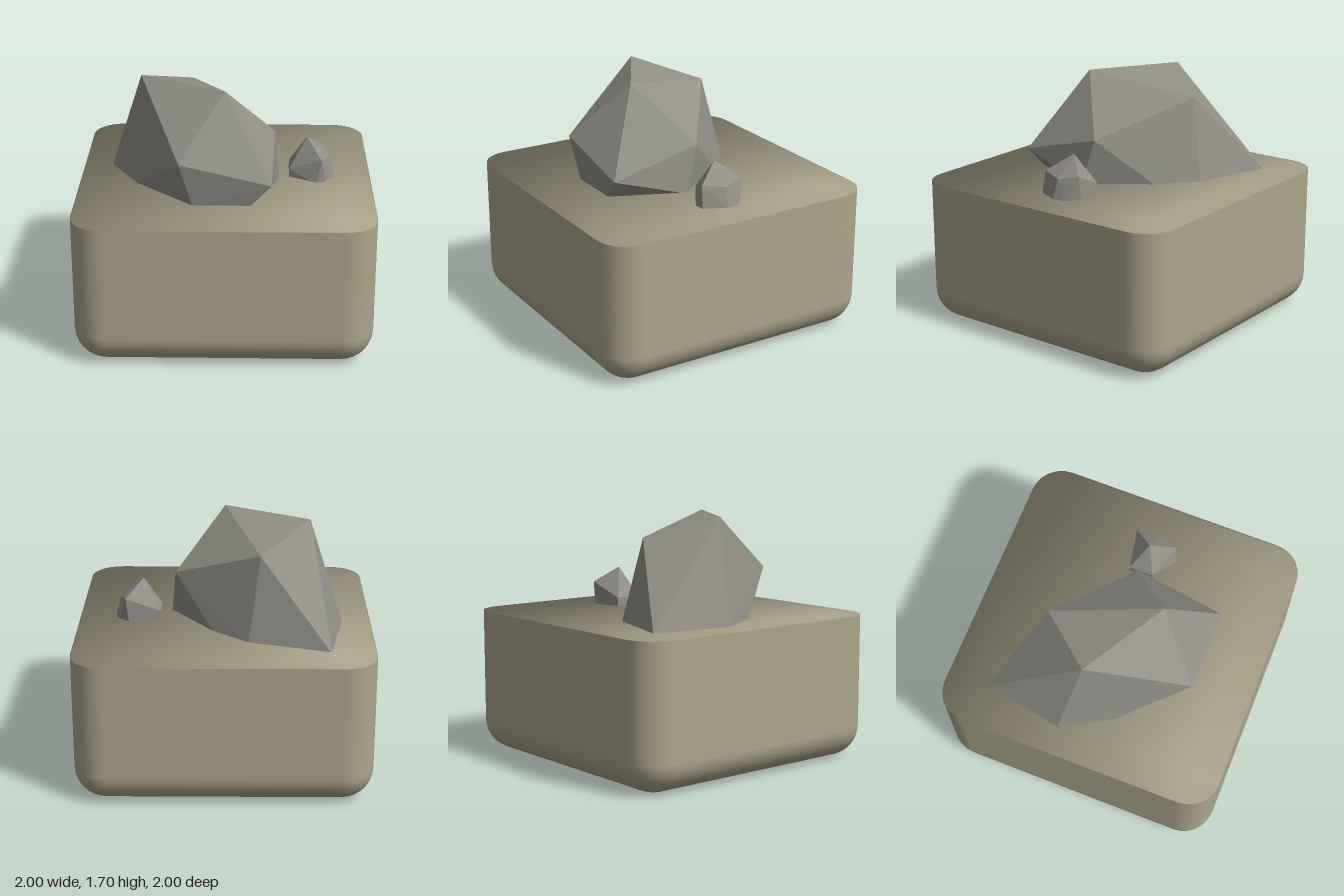
import * as THREE from 'three';
import { RoundedBoxGeometry } from 'three/addons/geometries/RoundedBoxGeometry.js';
import { ConvexGeometry } from 'three/addons/geometries/ConvexGeometry.js';

const GROUND = new THREE.MeshStandardMaterial({ color: 0xaca68a });
const STONE = new THREE.MeshStandardMaterial({ color: 0x918f87, flatShading: true });

// Lower half of a rounded cube: everything above the middle is pressed flat.
// The top keeps soft, outward-leaning normals so it blends into the walls.
function makeGroundBlock() {
  const radius = 0.22;
  const geometry = new RoundedBoxGeometry(2, 2, 2, 4, radius);
  const position = geometry.attributes.position;
  const normal = geometry.attributes.normal;
  const n = new THREE.Vector3();
  for (let i = 0; i < position.count; i++) {
    const y = position.getY(i);
    if (y < 0) continue;
    if (y > 1 - radius + 0.01) {
      n.set(position.getX(i), 0.6, position.getZ(i)).normalize();
      normal.setXYZ(i, n.x, n.y, n.z);
    }
    position.setY(i, 0);
  }
  geometry.translate(0, 1, 0);
  const block = new THREE.Mesh(geometry, GROUND);
  block.name = 'groundBlock';
  return block;
}

// Faceted stone: free corners [x, y, z] above a footprint [x, z] sunk just into the ground.
function makeStone(name, corners, footprint) {
  const points = [
    ...corners.map(([x, y, z]) => new THREE.Vector3(x, y, z)),
    ...footprint.map(([x, z]) => new THREE.Vector3(x, 0.985, z)),
  ];
  const stone = new THREE.Mesh(new ConvexGeometry(points), STONE);
  stone.name = name;
  return stone;
}

export function createModel() {
  const model = new THREE.Group();
  model.name = 'rocksOnGround';

  model.add(makeGroundBlock());

  model.add(makeStone('largeRock',
    [
      [-0.58, 1.7, -0.05], [0, 1.7, 0.29], [-0.24, 1.56, -0.43],
      [-0.3, 1.3, 0.61], [0.31, 1.15, 0.6], [0.34, 1.31, -0.02],
    ],
    [
      [-0.81, -0.16], [-0.71, -0.72], [-0.16, -0.55], [0.07, -0.35],
      [0.37, 0.07], [0.16, 0.57], [-0.21, 0.57], [-0.62, 0.17],
    ]));

  model.add(makeStone('smallRock',
    [
      [0.56, 1.27, -0.02], [0.68, 1.16, -0.16], [0.66, 1.15, 0.14],
      [0.72, 1.13, -0.01], [0.44, 1.06, -0.12], [0.44, 1.06, 0.05],
    ],
    [
      [0.44, -0.12], [0.44, 0.05], [0.62, 0.16], [0.69, 0.15],
      [0.76, 0], [0.75, -0.09], [0.66, -0.16],
    ]));

  return model;
}
